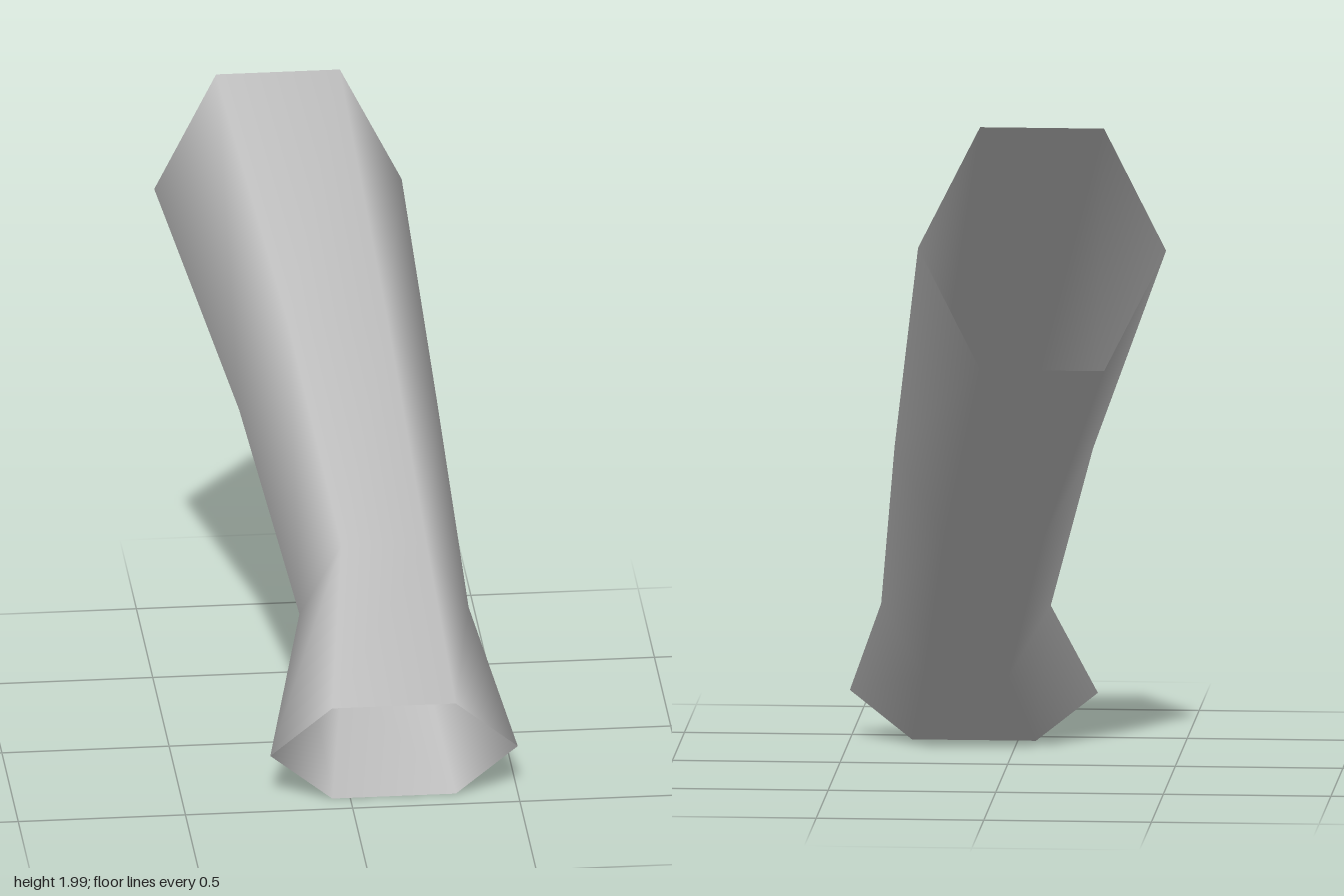
import * as THREE from 'three';

const SIDES = 6;

// Cross-sections from front to back: centre x, centre y, z, half width, half height
const RINGS = [
  [0.131, 0.152, 0.425, 0.37, 0.147],
  [0.132, 0.468, 0.107, 0.253, 0.22],
  [0.026, 0.998, -0.213, 0.296, 0.275],
  [-0.133, 1.633, -0.425, 0.37, 0.366],
];

// Open-ended hexagonal tube lofted through the rings.
// Normals point straight out from the centre of each ring, so shading is smooth.
function loft(rings) {
  const positions = [];
  const normals = [];
  const index = [];
  rings.forEach(([cx, cy, z, halfW, halfH], j) => {
    for (let k = 0; k < SIDES; k++) {
      const angle = (k / SIDES) * Math.PI * 2;
      const y = (Math.sin(angle) / Math.sin(Math.PI / 3)) * halfH;
      positions.push(cx + Math.cos(angle) * halfW, cy + y, z);
      normals.push(Math.cos(angle), Math.sin(angle), 0);
      if (j === rings.length - 1) continue;
      const a = j * SIDES + k;
      const b = j * SIDES + ((k + 1) % SIDES);
      index.push(a, a + SIDES, b, b, a + SIDES, b + SIDES);
    }
  });
  const geometry = new THREE.BufferGeometry();
  geometry.setAttribute('position', new THREE.Float32BufferAttribute(positions, 3));
  geometry.setAttribute('normal', new THREE.Float32BufferAttribute(normals, 3));
  geometry.setIndex(index);
  return geometry;
}

export function createModel() {
  const grey = new THREE.MeshStandardMaterial({ color: 0xcccccc, side: THREE.DoubleSide });
  grey.name = 'light grey';

  const tube = new THREE.Mesh(loft(RINGS), grey);
  tube.name = 'bentTube';

  const group = new THREE.Group();
  group.name = 'hexagonalTube';
  group.add(tube);
  return group;
}
